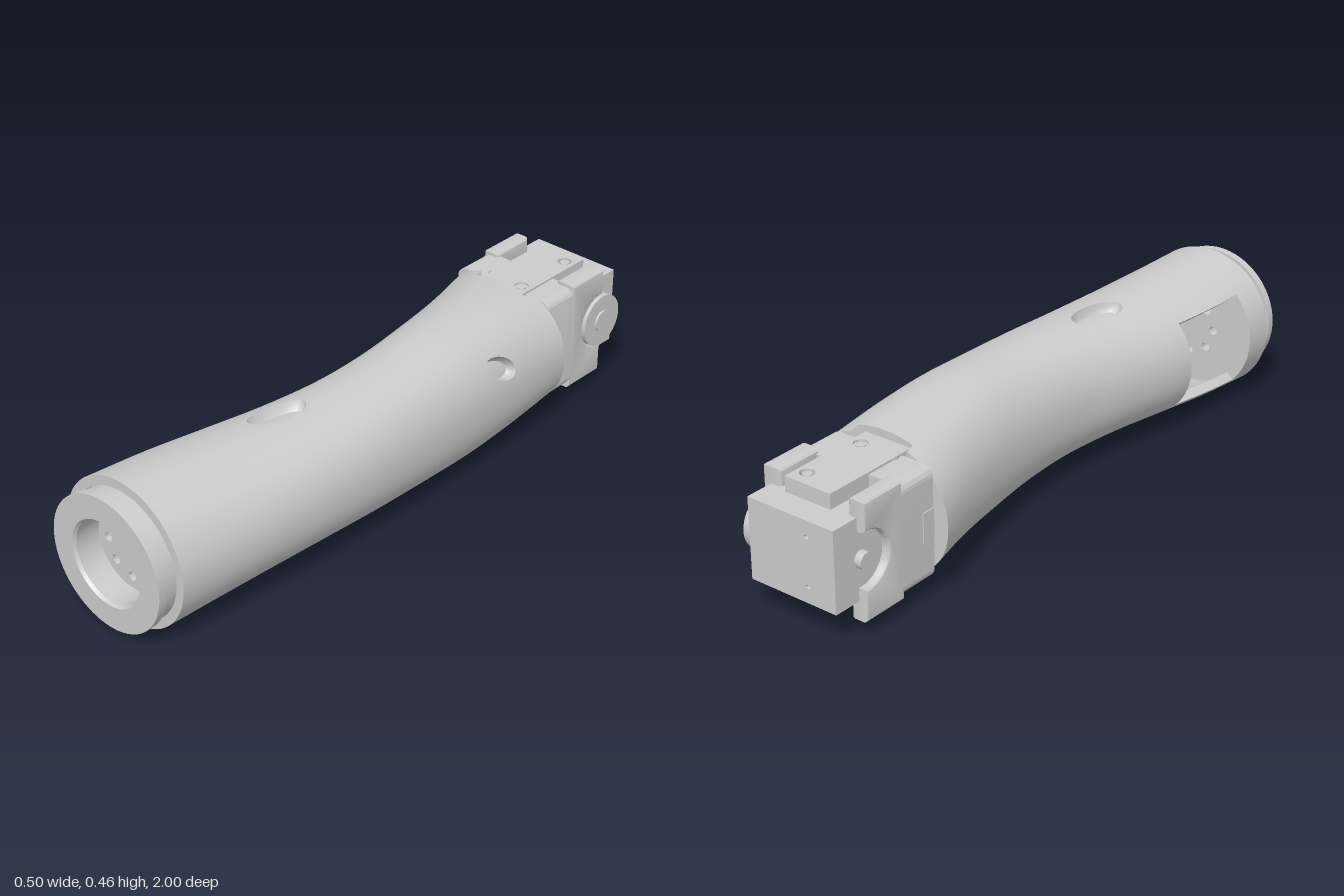
import * as THREE from 'three';
import { toCreasedNormals } from 'three/addons/utils/BufferGeometryUtils.js';

const CY = 0.23, HX = -0.02;          // axis height, hub centre
const Z0 = -0.635, Z1 = 0.93;         // shell ends
const N = 96, STEP = (Math.PI * 2) / N, WALL = 0.03;

const mat = new THREE.MeshStandardMaterial({ color: 0xcccccc, side: THREE.DoubleSide });

// Left edge, right edge and half height of the shell, evenly spaced from back to front
const profile = new THREE.CatmullRomCurve3([
  [-0.25, 0.225, 0.2], [-0.19, 0.235, 0.213], [-0.15, 0.242, 0.217],
  [-0.13, 0.246, 0.207], [-0.132, 0.247, 0.2], [-0.163, 0.244, 0.197],
  [-0.205, 0.236, 0.203], [-0.238, 0.223, 0.215], [-0.25, 0.205, 0.228],
].map((p) => new THREE.Vector3(...p)), false, 'catmullrom');

// Point on the shell at an angle and depth, moved inward by inset
function surf(a, z, inset = 0) {
  const t = THREE.MathUtils.clamp((z - Z0) / (Z1 - Z0), 0, 1);
  const p = profile.getPoint(t);
  const e = 2 / (2 + 0.2 * (1 - THREE.MathUtils.smoothstep(t, 0.5, 0.95)));
  const pow = (v) => Math.sign(v) * Math.abs(v) ** e;
  return [
    (p.x + p.y) / 2 + ((p.y - p.x) / 2 - inset) * pow(Math.cos(a)),
    CY + (p.z - inset) * pow(Math.sin(a)), z,
  ];
}

// Scooped dimples: block of columns and depth range, ellipse half sizes, slant
const dimples = [
  { c0: 21, c1: 31, z0: 0.25, z1: 0.5, a: 0.215, b: 0.095, slant: 0 },
  { c0: 2, c1: 12, z0: -0.44, z1: -0.24, a: 0.19, b: 0.06, slant: 0.1 },
];

function shellGeometry() {
  const pos = [];
  const quad = (a, b, c, d) => pos.push(...a, ...b, ...c, ...a, ...c, ...d);

  // Rows that line up with all openings
  const stops = [Z0, -0.6, -0.44, -0.24, 0.25, 0.5, 0.57, 0.84, Z1];
  const rows = [Z0];
  for (let k = 1; k < stops.length; k++) {
    const n = Math.ceil((stops[k] - stops[k - 1]) / 0.03);
    for (let s = 1; s <= n; s++) rows.push(s === n ? stops[k] : THREE.MathUtils.lerp(stops[k - 1], stops[k], s / n));
  }

  // Side window and the two notches at the back rim
  const open = (i, j) => {
    if (j < 0 || j >= rows.length - 1) return true;
    const z = (rows[j] + rows[j + 1]) / 2, c = (i + N) % N + 0.5;
    if (z > 0.57 && z < 0.84 && Math.abs(c - 48) < 11) return true;
    return z < -0.6 && (Math.abs(c - 24) < 6 || Math.abs(c - 72) < 6);
  };
  const dimpled = (i, z) => dimples.some((d) => i >= d.c0 && i < d.c1 && z > d.z0 && z < d.z1);

  for (let j = 0; j < rows.length - 1; j++) {
    for (let i = 0; i < N; i++) {
      if (open(i, j)) continue;
      const a = i * STEP, b = a + STEP, lo = rows[j], hi = rows[j + 1];
      if (!dimpled(i, (lo + hi) / 2)) quad(surf(a, lo), surf(b, lo), surf(b, hi), surf(a, hi));
      quad(surf(a, lo, WALL), surf(a, hi, WALL), surf(b, hi, WALL), surf(b, lo, WALL));
      const rim = (p, q) => quad(surf(...q), surf(...p), surf(...p, WALL), surf(...q, WALL));
      if (open(i, j - 1)) rim([a, lo], [b, lo]);
      if (open(i, j + 1)) rim([b, hi], [a, hi]);
      if (open(i - 1, j)) rim([a, hi], [a, lo]);
      if (open(i + 1, j)) rim([b, lo], [b, hi]);
    }
  }

  // Dimples: rings from the block border to the ellipse, then down into the scoop
  for (const d of dimples) {
    const zs = rows.filter((z) => z >= d.z0 && z <= d.z1);
    const edge = [];
    for (let i = d.c0; i < d.c1; i++) edge.push([i * STEP, d.z0]);
    for (let k = 0; k < zs.length - 1; k++) edge.push([d.c1 * STEP, zs[k]]);
    for (let i = d.c1; i > d.c0; i--) edge.push([i * STEP, d.z1]);
    for (let k = zs.length - 1; k > 0; k--) edge.push([d.c0 * STEP, zs[k]]);
    const ca = ((d.c0 + d.c1) / 2) * STEP, cz = (d.z0 + d.z1) / 2;
    const oval = edge.map(([a, z]) => {
      const f = Math.atan2((z - cz) / (d.z1 - d.z0), (a - ca) / ((d.c1 - d.c0) * STEP));
      return [ca + d.a * Math.cos(f) + d.slant * Math.sin(f), cz + d.b * Math.sin(f)];
    });
    const mix = (p, q, t) => [p[0] + (q[0] - p[0]) * t, p[1] + (q[1] - p[1]) * t];
    const rings = [];
    for (let s = 0; s <= 3; s++) rings.push(edge.map((p, k) => surf(...mix(p, oval[k], s / 3))));
    for (let s = 1; s <= 6; s++) {
      const w = (s / 6) * Math.PI / 2;
      rings.push(oval.map((p) => surf(...mix([ca, cz], p, Math.cos(w)), 0.055 * Math.sin(w))));
    }
    for (let s = 0; s < rings.length - 1; s++) {
      edge.forEach((_, k) => {
        const n = (k + 1) % edge.length;
        quad(rings[s][k], rings[s][n], rings[s + 1][n], rings[s + 1][k]);
      });
    }
  }

  // Bulkhead closing the tube behind the back rim
  for (let i = 0; i < N; i++) {
    pos.push(-0.01, CY, -0.57, ...surf((i + 1) * STEP, -0.57, WALL), ...surf(i * STEP, -0.57, WALL));
  }
  const g = new THREE.BufferGeometry();
  g.setAttribute('position', new THREE.Float32BufferAttribute(pos, 3));
  return toCreasedNormals(g, 0.6);
}

// Rectangle shape with optional corner radius and round holes [x, y, r]
function rect(x0, y0, x1, y1, r = 0, holes = []) {
  const s = new THREE.Shape();
  if (r) {
    s.absarc(x1 - r, y1 - r, r, 0, Math.PI / 2);
    s.absarc(x0 + r, y1 - r, r, Math.PI / 2, Math.PI);
    s.absarc(x0 + r, y0 + r, r, Math.PI, Math.PI * 1.5);
    s.absarc(x1 - r, y0 + r, r, Math.PI * 1.5, Math.PI * 2);
  } else {
    s.moveTo(x0, y0).lineTo(x1, y0).lineTo(x1, y1).lineTo(x0, y1).closePath();
  }
  drill(s, holes);
  return s;
}
function drill(shape, holes) {
  for (const [x, y, r] of holes) shape.holes.push(new THREE.Path().absarc(x, y, r, 0, Math.PI * 2, true));
}
const extrude = (shape, depth, opts = {}) =>
  new THREE.ExtrudeGeometry(shape, { depth, bevelEnabled: false, curveSegments: 24, ...opts });

export function createModel() {
  const group = new THREE.Group();
  const add = (name, geo, x = 0, y = 0, z = 0) => {
    const m = new THREE.Mesh(geo, mat);
    m.name = name;
    m.position.set(x, y, z);
    group.add(m);
    return m;
  };
  const box = (name, x0, x1, y0, y1, z0, z1) =>
    add(name, new THREE.BoxGeometry(x1 - x0, y1 - y0, z1 - z0), (x0 + x1) / 2, (y0 + y1) / 2, (z0 + z1) / 2);

  add('curvedShell', shellGeometry());

  // Front flange with its groove and recess
  const ring = [[0.19, 0.84], [0.198, 0.84], [0.198, 0.975], [0.207, 0.975], [0.207, 1], [0.133, 1], [0.127, 0.99], [0.127, 0.88]];
  const lathe = new THREE.LatheGeometry(ring.map((p) => new THREE.Vector2(...p)), 72).rotateX(Math.PI / 2);
  add('frontFlange', toCreasedNormals(lathe, 0.5), HX, CY);
  const plate = new THREE.Shape().absarc(0, 0, 0.195, 0, Math.PI * 2);
  drill(plate, Array.from({ length: 8 }, (_, k) => [0.088 * Math.cos(k * Math.PI / 4), 0.088 * Math.sin(k * Math.PI / 4), 0.014]));
  add('boltPlate', toCreasedNormals(extrude(plate, 0.07), 0.5), HX, CY, 0.84);

  // Joint body behind the shell
  box('jointCore', -0.145, 0.1, 0.09, 0.37, -0.65, -0.56);
  add('jointBody', toCreasedNormals(extrude(rect(-0.2, 0.06, 0.156, 0.4, 0.03), 0.135), 0.5), 0, 0, -0.77);
  box('sidePadLeft', 0.15, 0.16, 0.19, 0.28, -0.68, -0.637);
  box('sidePadRight', -0.204, -0.19, 0.19, 0.28, -0.68, -0.637);

  // Swivel block at the far back
  const rear = rect(-0.175, 0.11, 0.125, 0.36, 0, [[-0.08, 0.31, 0.007], [-0.08, 0.16, 0.007]]);
  add('swivelBlock', toCreasedNormals(extrude(rear, 0.24), 0.5), 0, 0, -1);

  // Forked arms with a round cut for the pivot
  const arm = new THREE.Shape();
  arm.moveTo(-0.755, 0.05).lineTo(-0.91, 0.05);
  arm.absarc(-0.9, 0.235, 0.085, -1.69, 1.69, false);
  arm.lineTo(-0.91, 0.41).lineTo(-0.755, 0.41).closePath();
  const bv = 0.012;
  for (const [name, x0, x1] of [['armRight', -0.2, -0.145], ['armLeft', 0.09, 0.156]]) {
    const g = extrude(arm, x1 - x0 - 2 * bv, { bevelEnabled: true, bevelSize: bv, bevelThickness: bv, bevelOffset: -bv, bevelSegments: 3 });
    add(name, toCreasedNormals(g.rotateY(-Math.PI / 2), 0.5), x1 - bv);
  }

  // Pivot discs and pins
  const disc = (name, r, x0, x1) =>
    add(name, new THREE.CylinderGeometry(r, r, x1 - x0, 40).rotateZ(Math.PI / 2), (x0 + x1) / 2, 0.235, -0.9);
  disc('pivotDisc', 0.085, 0.1, 0.163);
  disc('pivotPinLeft', 0.035, 0.15, 0.17);
  disc('pivotPinRight', 0.025, -0.198, -0.15);

  // Screwed cover plates above and below
  const screws = [[0.03, -0.87], [0.03, -0.66], [-0.077, -0.66]];
  const cover = rect(-0.095, 0.6, 0.065, 0.92, 0, screws.map(([x, z]) => [x, -z, 0.022]));
  for (const [side, y0, y1] of [['top', 0.355, 0.407], ['bottom', 0.053, 0.115]]) {
    add(side + 'Cover', toCreasedNormals(extrude(cover, y1 - y0).rotateX(-Math.PI / 2), 0.5), 0, y0);
    for (const [x, z] of screws) {
      add(side + 'Screw', new THREE.CylinderGeometry(0.014, 0.014, y1 - y0 - 0.006, 20), x, (y0 + y1) / 2, z);
    }
  }
  return group;
}
